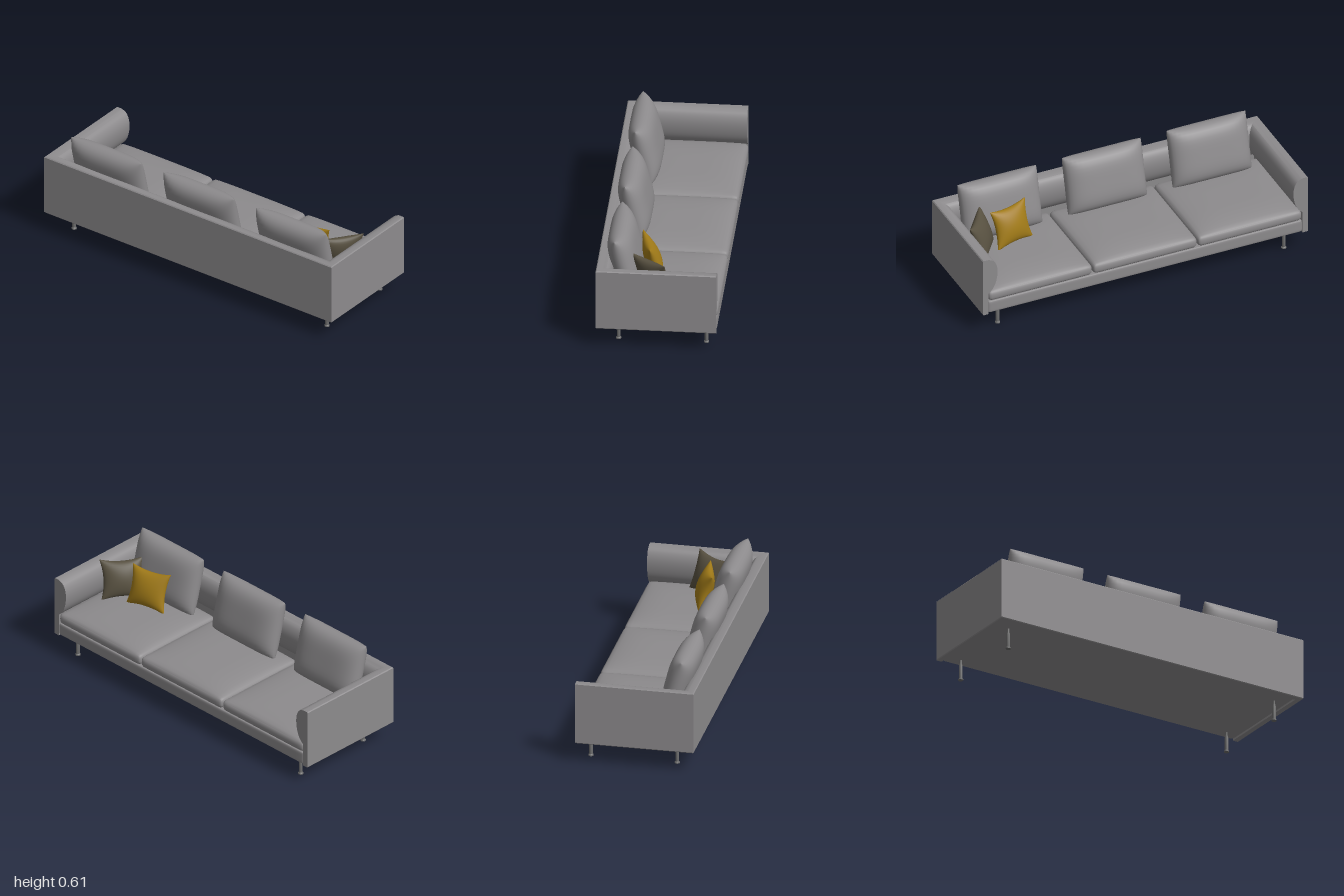
import * as THREE from 'three';
import { mergeVertices, mergeGeometries, toCreasedNormals } from 'three/addons/utils/BufferGeometryUtils.js';

const mat = (name, color, side = THREE.FrontSide) => {
  const m = new THREE.MeshStandardMaterial({ color, side });
  m.name = name;
  return m;
};

// Spread grid parameter (-1..1) so that points gather near the edges
const spread = (t) => Math.sin((t * Math.PI) / 2);

function smooth(geo) {
  geo.deleteAttribute('uv');
  geo.deleteAttribute('normal');
  const g = mergeVertices(geo, 1e-5);
  g.computeVertexNormals();
  return g;
}

// Rounded upholstery block with an optional crowned top
function softBlock(w, h, d, r, crown = 0) {
  const g = new THREE.BoxGeometry(2, 2, 2, 18, 10, 18);
  const p = g.attributes.position;
  const half = new THREE.Vector3(w / 2, h / 2, d / 2);
  const inner = half.clone().subScalar(r);
  const v = new THREE.Vector3(), core = new THREE.Vector3();
  for (let i = 0; i < p.count; i++) {
    v.set(spread(p.getX(i)), spread(p.getY(i)), spread(p.getZ(i)));
    const lift = v.y > 0 ? crown * (1 - v.x ** 4) * (1 - v.z ** 4) * v.y : 0;
    v.multiply(half);
    core.copy(v).clamp(inner.clone().negate(), inner);
    v.sub(core);
    if (v.lengthSq() > 0) v.setLength(r);
    v.add(core);
    p.setXYZ(i, v.x, v.y + lift, v.z);
  }
  return smooth(g);
}

// Stuffed pillow: two puffed sheets joined at a seam, with edges drawn in by pinch
function pillow(w, h, t, pinch, power) {
  const sheet = new THREE.PlaneGeometry(2, 2, 20, 20);
  const p = sheet.attributes.position;
  for (let i = 0; i < p.count; i++) {
    const u = spread(p.getX(i)), v = spread(p.getY(i));
    const puff = Math.sqrt(Math.max(0, (1 - Math.abs(u) ** power) * (1 - Math.abs(v) ** power)));
    p.setXYZ(i,
      (u * w / 2) * (1 - pinch * (1 - v * v)),
      (v * h / 2) * (1 - pinch * (1 - u * u)),
      (t / 2) * puff);
  }
  return smooth(mergeGeometries([sheet, sheet.clone().rotateY(Math.PI)]));
}

// Mitred U-shaped shell swept from an (inset, height) profile
function shellGeometry() {
  const profile = [[0.004, 0.118], [0, 0.123], [0, 0.477], [0.005, 0.482], [0.035, 0.482]];
  const pad = new THREE.SplineCurve([[0.035, 0.482], [0.068, 0.465], [0.087, 0.425], [0.09, 0.375],
    [0.08, 0.32], [0.06, 0.28], [0.035, 0.255]].map(([x, y]) => new THREE.Vector2(x, y)));
  pad.getPoints(18).slice(1).forEach((q) => profile.push([q.x, q.y]));
  profile.push([0.035, 0.118]);
  const front = -0.335, back = 0.341, n = profile.length;
  const stations = [
    (d) => [-1 + d, front], (d) => [-1 + d, back - d],
    (d) => [1 - d, back - d], (d) => [1 - d, front],
  ];
  const pos = [], idx = [];
  stations.forEach((f) => profile.forEach(([d, y]) => {
    const [x, z] = f(d);
    pos.push(x, y, z);
  }));
  for (let s = 0; s < 3; s++) {
    for (let i = 0; i < n; i++) {
      const a = s * n + i, b = s * n + ((i + 1) % n);
      idx.push(a, a + n, b, b, a + n, b + n);
    }
  }
  // Flat front ends of the arms
  const outline = profile.map(([d, y]) => new THREE.Vector2(d, y));
  THREE.ShapeUtils.triangulateShape(outline, []).forEach(([a, b, c]) => {
    idx.push(a, b, c, 3 * n + a, 3 * n + c, 3 * n + b);
  });
  const g = new THREE.BufferGeometry();
  g.setAttribute('position', new THREE.Float32BufferAttribute(pos, 3));
  g.setIndex(idx);
  return toCreasedNormals(g, 0.6);
}

export function createModel() {
  const fabric = mat('greyFabric', 0x8d8b8d);
  const shellFabric = fabric;
  shellFabric.side = THREE.DoubleSide;
  const metal = mat('legMetal', 0x6c6c6c);
  const gold = mat('goldFabric', 0xa07a18);
  const brown = mat('darkBrownFabric', 0x575040);

  const sofa = new THREE.Group();
  sofa.name = 'sofa';
  const add = (name, geo, material, x = 0, y = 0, z = 0) => {
    const m = new THREE.Mesh(geo, material);
    m.name = name;
    m.position.set(x, y, z);
    sofa.add(m);
    return m;
  };

  // Padded arms and backrest
  add('armsAndBackrest', shellGeometry(), shellFabric);

  // Seat base
  add('seatBase', softBlock(1.93, 0.078, 0.643, 0.012), fabric, 0, 0.162, -0.0145);

  // Seat cushions and back pillows
  const seatGeo = softBlock(0.642, 0.068, 0.605, 0.028, 0.026);
  const backGeo = pillow(0.485, 0.345, 0.15, 0.01, 4);
  [-1, 0, 1].forEach((i) => {
    add('seatCushion', seatGeo, fabric, i * 0.644, 0.232, -0.0385);
    add('backPillow', backGeo, fabric, i * 0.643 + 0.003, 0.44, 0.203).rotation.x = 0.25;
  });

  // Throw pillows leaning in the corner
  const throwGeo = pillow(0.25, 0.235, 0.095, 0.15, 2);
  add('goldThrowPillow', throwGeo, gold, 0.645, 0.395, 0.052).rotation.set(0.32, 0.24, 0, 'YXZ');
  add('darkThrowPillow', throwGeo, brown, 0.835, 0.388, 0.035).rotation.set(0.35, 0.93, 0, 'YXZ');

  // Turned legs
  const legProfile = [[0, 0], [0.015, 0], [0.015, 0.006], [0.0105, 0.011], [0.0105, 0.088],
    [0.006, 0.106], [0.006, 0.13]].map(([x, y]) => new THREE.Vector2(x, y));
  const legGeo = toCreasedNormals(new THREE.LatheGeometry(legProfile, 20), 0.5);
  for (const x of [-0.88, 0.88]) {
    for (const z of [-0.27, 0.222]) add('leg', legGeo, metal, x, 0, z);
  }
  return sofa;
}
